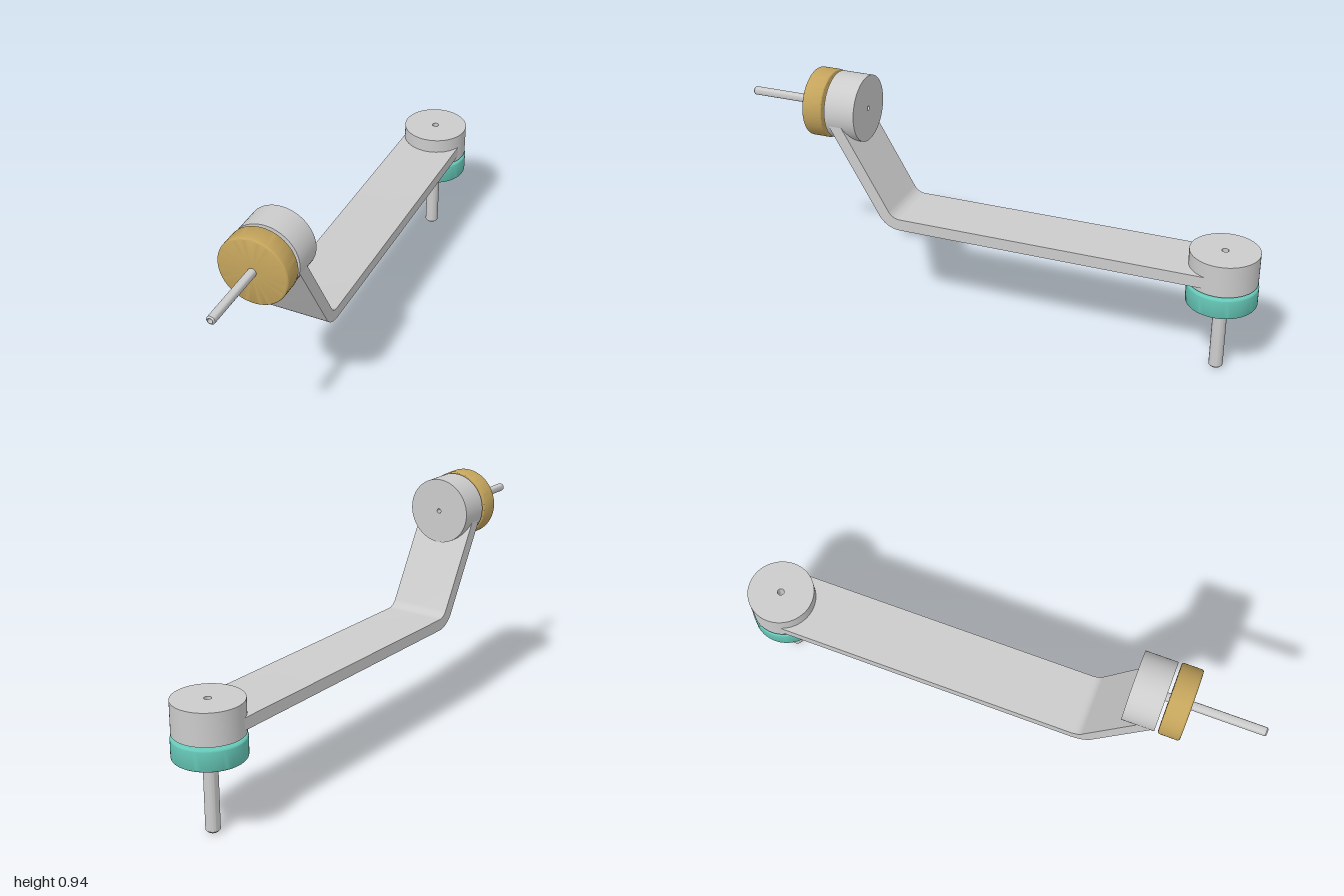
import * as THREE from 'three';
import { toCreasedNormals } from 'three/addons/utils/BufferGeometryUtils.js';

const HALF_ARM = 0.12;   // half width of the bent strip
const material = (color) => new THREE.MeshStandardMaterial({ color });
const grey = material(0xcccccc);

function makeMesh(name, geometry, mat = grey) {
  const mesh = new THREE.Mesh(toCreasedNormals(geometry, 0.6), mat);
  mesh.name = name;
  return mesh;
}

// Ring turned about y, from y0 to y1; bottom and top edges are eased in `steps` segments.
function ring(name, inner, outer, y0, y1, { bottom = 0, top = 0, steps = 4, mat = grey } = {}) {
  const pts = [new THREE.Vector2(inner, y0)];
  const edge = (r, y, from) => {
    const n = r > 0 ? steps : 0;
    for (let i = 0; i <= n; i++) {
      const a = from + (n ? (i / n) * Math.PI / 2 : 0);
      pts.push(new THREE.Vector2(outer - r + r * Math.cos(a), y + r * Math.sin(a)));
    }
  };
  if (bottom) edge(bottom, y0 + bottom, -Math.PI / 2);
  else pts.push(new THREE.Vector2(outer, y0));
  if (top) edge(top, y1 - top, 0);
  else pts.push(new THREE.Vector2(outer, y1));
  pts.push(new THREE.Vector2(inner, y1), new THREE.Vector2(inner, y0));
  return makeMesh(name, new THREE.LatheGeometry(pts, 64), mat);
}

// Hub, coloured disc and hollow pin on one axis; the pin tip is at y = 0.
function joint(name, { hole, pin, disc, hub, color }) {
  const group = new THREE.Group();
  group.name = name;
  group.add(
    ring('pin', hole, pin, 0, hub[0] + 0.02, { bottom: pin * 0.3, steps: 1 }),
    ring('disc', pin, 0.13, disc[0], disc[1], { bottom: 0.008, top: 0.008, mat: material(color) }),
    ring('hub', hole, 0.127, hub[0], hub[1]),
  );
  return group;
}

// Strip with a 60 degree bend, drawn as a side profile (z, y) and extruded across x.
function bentArm() {
  const cz = 0.345, cy = 0.482, outer = 0.097, inner = 0.052, endY = 0.777, backZ = -0.83;
  const a = -Math.PI / 6;
  const rise = (r) => cz + r * Math.cos(a) + (endY - cy - r * Math.sin(a)) / Math.sqrt(3);
  const shape = new THREE.Shape();
  shape.moveTo(backZ, cy - outer);
  shape.lineTo(cz, cy - outer);
  shape.absarc(cz, cy, outer, -Math.PI / 2, a, false);
  shape.lineTo(rise(outer), endY);
  shape.lineTo(rise(inner), endY);
  shape.lineTo(cz + inner * Math.cos(a), cy + inner * Math.sin(a));
  shape.absarc(cz, cy, inner, a, -Math.PI / 2, true);
  shape.lineTo(backZ, cy - inner);
  const geometry = new THREE.ExtrudeGeometry(shape, { depth: HALF_ARM * 2, bevelEnabled: false, curveSegments: 12 });
  geometry.translate(0, 0, -HALF_ARM);
  geometry.rotateY(-Math.PI / 2);
  return makeMesh('bentArm', geometry);
}

export function createModel() {
  const model = new THREE.Group();
  model.name = 'crankArm';

  // Upright joint at the back
  const rear = joint('rearJoint', {
    hole: 0.013, pin: 0.026, disc: [0.277, 0.357], hub: [0.366, 0.486], color: 0x66c8b8,
  });
  rear.position.z = -0.87;

  // Horizontal joint at the front, pin pointing forwards
  const front = joint('frontJoint', {
    hole: 0.009, pin: 0.016, disc: [0.272, 0.352], hub: [0.364, 0.484], color: 0xc4a45c,
  });
  front.rotation.x = -Math.PI / 2;
  front.position.set(0, 0.812, 1);

  model.add(bentArm(), rear, front);
  return model;
}
